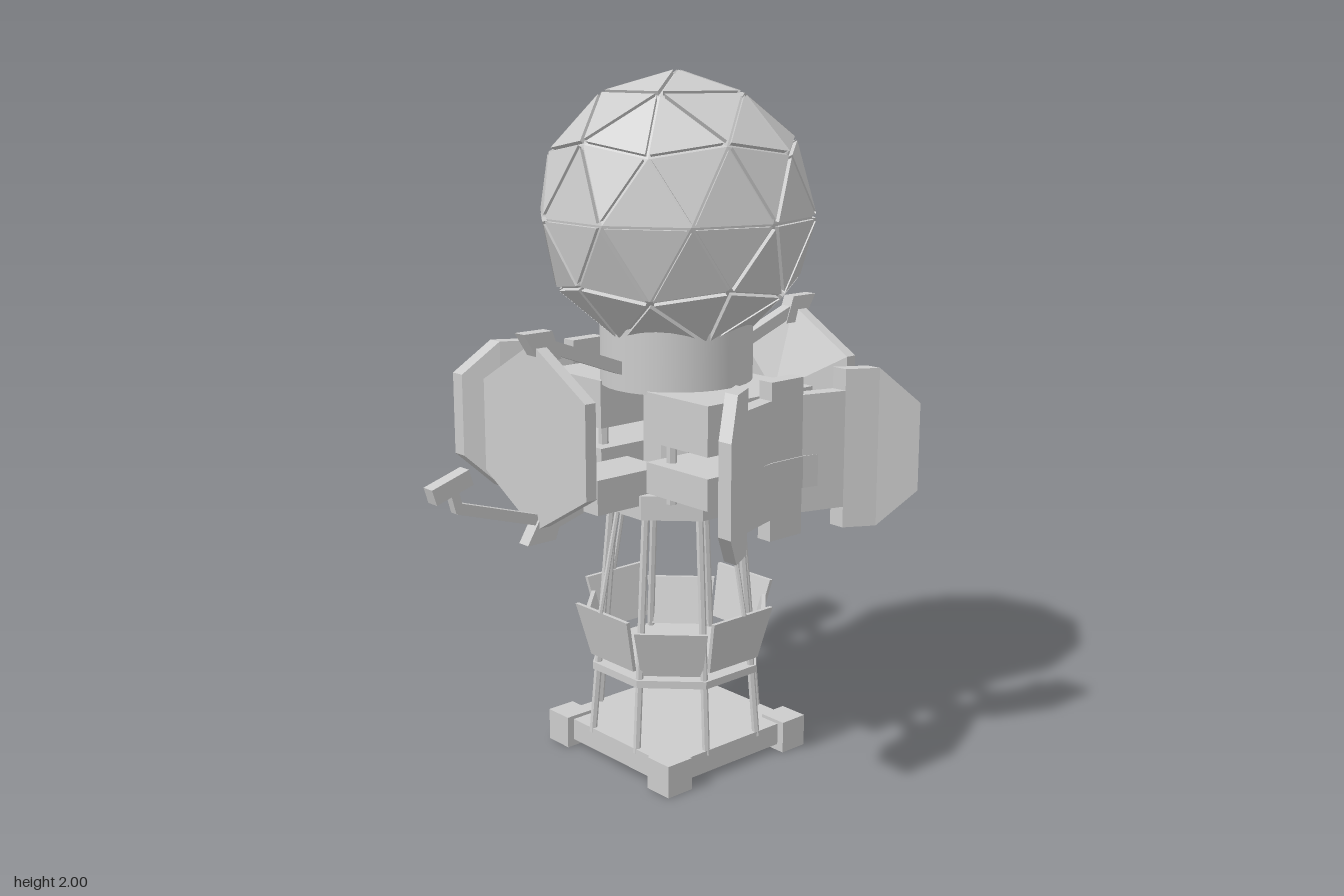
import * as THREE from 'three';

const flat = new THREE.MeshStandardMaterial({ color: 0xcccccc, flatShading: true, side: THREE.DoubleSide });
const smooth = new THREE.MeshStandardMaterial({ color: 0xcccccc });
const V = (x, y, z) => new THREE.Vector3(x, y, z);

function add(parent, name, geo, x = 0, y = 0, z = 0, mat = flat) {
  const m = new THREE.Mesh(geo, mat);
  m.name = name;
  m.position.set(x, y, z);
  parent.add(m);
  return m;
}
const box = (p, name, x0, x1, y0, y1, z0, z1) =>
  add(p, name, new THREE.BoxGeometry(x1 - x0, y1 - y0, z1 - z0), (x0 + x1) / 2, (y0 + y1) / 2, (z0 + z1) / 2);

// straight bar between two points
function bar(p, name, a, b, geoOf) {
  const m = add(p, name, geoOf(a.distanceTo(b)));
  m.position.copy(a).add(b).multiplyScalar(0.5);
  m.quaternion.setFromUnitVectors(V(0, 1, 0), b.clone().sub(a).normalize());
  return m;
}
const rod = r => h => new THREE.CylinderGeometry(r, r, h, 6);
const beam = (w, d) => h => new THREE.BoxGeometry(w, h, d);
const polar = (r, y, a) => V(Math.cos(a) * r, y, Math.sin(a) * r);

// prism between two matching loops of corners
function prism(lower, upper) {
  const n = lower.length, pts = [];
  for (let i = 0; i < n; i++) {
    const j = (i + 1) % n;
    pts.push(lower[i], lower[j], upper[j], lower[i], upper[j], upper[i]);
    if (i > 0 && i < n - 1) pts.push(upper[0], upper[i], upper[i + 1], lower[0], lower[i + 1], lower[i]);
  }
  const g = new THREE.BufferGeometry().setFromPoints(pts);
  g.computeVertexNormals();
  return g;
}

// geodesic ball: solid core plus one raised plate per triangle
function makeDome() {
  const g = new THREE.Group();
  g.name = 'dome';
  g.position.y = 1.6;
  const tilt = -Math.atan(2 / (1 + Math.sqrt(5)));
  add(g, 'domeCore', new THREE.IcosahedronGeometry(0.386, 1).rotateZ(tilt));
  const p = new THREE.IcosahedronGeometry(0.4, 1).rotateZ(tilt).attributes.position;
  for (let i = 0; i < p.count; i += 3) {
    const t = [0, 1, 2].map(k => new THREE.Vector3().fromBufferAttribute(p, i + k));
    const c = t[0].clone().add(t[1]).add(t[2]).divideScalar(3);
    const outer = t.map(v => v.clone().lerp(c, 0.1));
    add(g, 'domePlate', prism(outer.map(v => v.clone().multiplyScalar(0.96)), outer));
  }
  return g;
}

// bowed panel slab made of columns [x0, x1, bottom0, bottom1, top0, top1]
function bowedSlab(p, name, columns, offset, thick) {
  const z = x => 0.397 + 1.27 * x * x + offset;
  for (const [x0, x1, b0, b1, t0, t1] of columns) {
    const loop = d => [V(x0, b0, z(x0) + d), V(x1, b1, z(x1) + d), V(x1, t1, z(x1) + d), V(x0, t0, z(x0) + d)];
    add(p, name, prism(loop(0), loop(thick)));
  }
}
const mirrored = cols => cols.flatMap(([a, b, c, d, e, f]) => [[a, b, c, d, e, f], [-b, -a, d, c, f, e]]);

// notched panel with its equipment boxes and mounts, facing +z
function makeNotchedPanel() {
  const g = new THREE.Group();
  g.name = 'notchedPanelSide';
  bowedSlab(g, 'notchedPanel', [[-0.06, 0.06, 0.75, 0.75, 1.19, 1.19], ...mirrored([
    [0.06, 0.186, 0.81, 0.81, 1.14, 1.14],
    [0.186, 0.27, 0.75, 0.75, 1.2, 1.2],
    [0.27, 0.36, 0.75, 0.85, 1.2, 1.1],
  ])], 0, 0.047);
  bowedSlab(g, 'namePlate', [[-0.06, 0.06, 0.88, 0.88, 0.97, 0.97],
    ...mirrored([[0.06, 0.12, 0.88, 0.88, 0.97, 0.97]])], 0.045, 0.006);
  box(g, 'upperBox', -0.2, 0.2, 0.99, 1.13, 0.1, 0.35);
  box(g, 'lowerBox', -0.2, 0.2, 0.84, 0.93, 0.1, 0.35);
  for (const s of [-1, 1]) for (const y of [1.06, 0.885])
    box(g, 'panelMount', s * 0.11 - 0.02, s * 0.11 + 0.02, y - 0.02, y + 0.02, 0.33, 0.415);
  return g;
}

// hexagonal panel with arms and a small camera, facing +x
function makeHexSide() {
  const g = new THREE.Group();
  g.name = 'hexPanelSide';
  const hex = x => [...Array(6).keys()].map(i => {
    const a = Math.PI / 6 + i * Math.PI / 3;
    return V(x, 1.03 + 0.26 * Math.sin(a), -0.26 * Math.cos(a));
  }).reverse();
  add(g, 'hexPanel', prism(hex(0.48).reverse(), hex(0.515).reverse()));
  const tip = hex(0.4).map(() => V(0.4, 1.03, 0)).reverse();
  add(g, 'hexPanelBack', prism(tip, hex(0.48).reverse()));
  // tabs at the top and bottom corners
  for (const s of [1, -1]) {
    const loop = z => [[0.46, 0.29], [0.555, 0.29], [0.505, 0.21], [0.43, 0.21]]
      .map(([x, y]) => V(x, 1.03 + s * y, z));
    const lower = loop(-0.02 * s), upper = loop(0.02 * s);
    add(g, 'hexTab', prism(lower.reverse(), upper.reverse()));
  }
  bar(g, 'upperArm', V(0.12, 1.15, 0), V(0.47, 1.28, 0), beam(0.035, 0.035));
  box(g, 'armBox', 0.12, 0.36, 0.8, 0.9, -0.08, 0.08);
  bar(g, 'lowerArm', V(0.2, 0.86, 0), V(0.5, 0.775, 0), beam(0.035, 0.035));
  bar(g, 'cameraArm', V(0.47, 0.79, 0), V(0.77, 0.885, 0), beam(0.03, 0.025));
  bar(g, 'cameraPost', V(0.765, 0.875, 0), V(0.785, 0.95, 0), beam(0.025, 0.025));
  const cam = box(g, 'camera', 0.73, 0.85, 0.925, 0.97, -0.02, 0.02);
  cam.rotation.z = -0.3;
  return g;
}

// octagonal tower with legs, plates and flared flaps
function makeTower() {
  const g = new THREE.Group();
  g.name = 'tower';
  const octagon = (r, h) => new THREE.CylinderGeometry(r, r, h, 8).rotateY(Math.PI / 8);
  add(g, 'upperPlatform', octagon(0.228, 0.07), 0, 0.795, 0);
  add(g, 'lowerPlatform', octagon(0.26, 0.022), 0, 0.28, 0);
  add(g, 'core', octagon(0.1, 0.32), 0, 0.97, 0);
  for (let i = 0; i < 8; i++) {
    const a = i * Math.PI / 4, la = a + Math.PI / 8, main = i % 2 === 0;
    bar(g, 'leg', polar(0.262, 0.07, la), polar(0.2, 0.77, la), rod(0.011));
    if (main) bar(g, 'flapRod', polar(0.225, 0.77, a), polar(0.29, 0.48, a), rod(0.007));
    // flap profile: top and bottom radius, height and half width
    const [rt, yt, wt, rb, yb, wb] = main ? [0.29, 0.48, 0.115, 0.25, 0.32, 0.095] : [0.265, 0.44, 0.105, 0.225, 0.3, 0.088];
    const loop = d => [V(rb + d, yb, wb), V(rb + d, yb, -wb), V(rt + d, yt, -wt), V(rt + d, yt, wt)];
    add(g, 'flap', prism(loop(-0.012), loop(0))).rotation.y = -a;
  }
  for (const x of [-0.15, 0.15]) for (const z of [-0.15, 0.15])
    add(g, 'column', rod(0.015)(0.32), x, 0.97, z);
  return g;
}

export function createModel() {
  const model = new THREE.Group();
  model.name = 'domeStation';

  // square base with corner blocks
  box(model, 'baseSlab', -0.25, 0.25, 0.02, 0.085, -0.25, 0.25);
  for (const x of [-0.228, 0.228]) for (const z of [-0.228, 0.228])
    box(model, 'baseCorner', x - 0.045, x + 0.045, 0, 0.095, z - 0.045, z + 0.045);

  model.add(makeTower());
  add(model, 'collar', new THREE.CylinderGeometry(0.22, 0.22, 0.2, 32), 0, 1.22, 0, smooth);
  model.add(makeDome());

  for (const turn of [0, Math.PI]) {
    const panel = makeNotchedPanel(), side = makeHexSide();
    panel.rotation.y = side.rotation.y = turn;
    model.add(panel, side);
  }
  return model;
}
